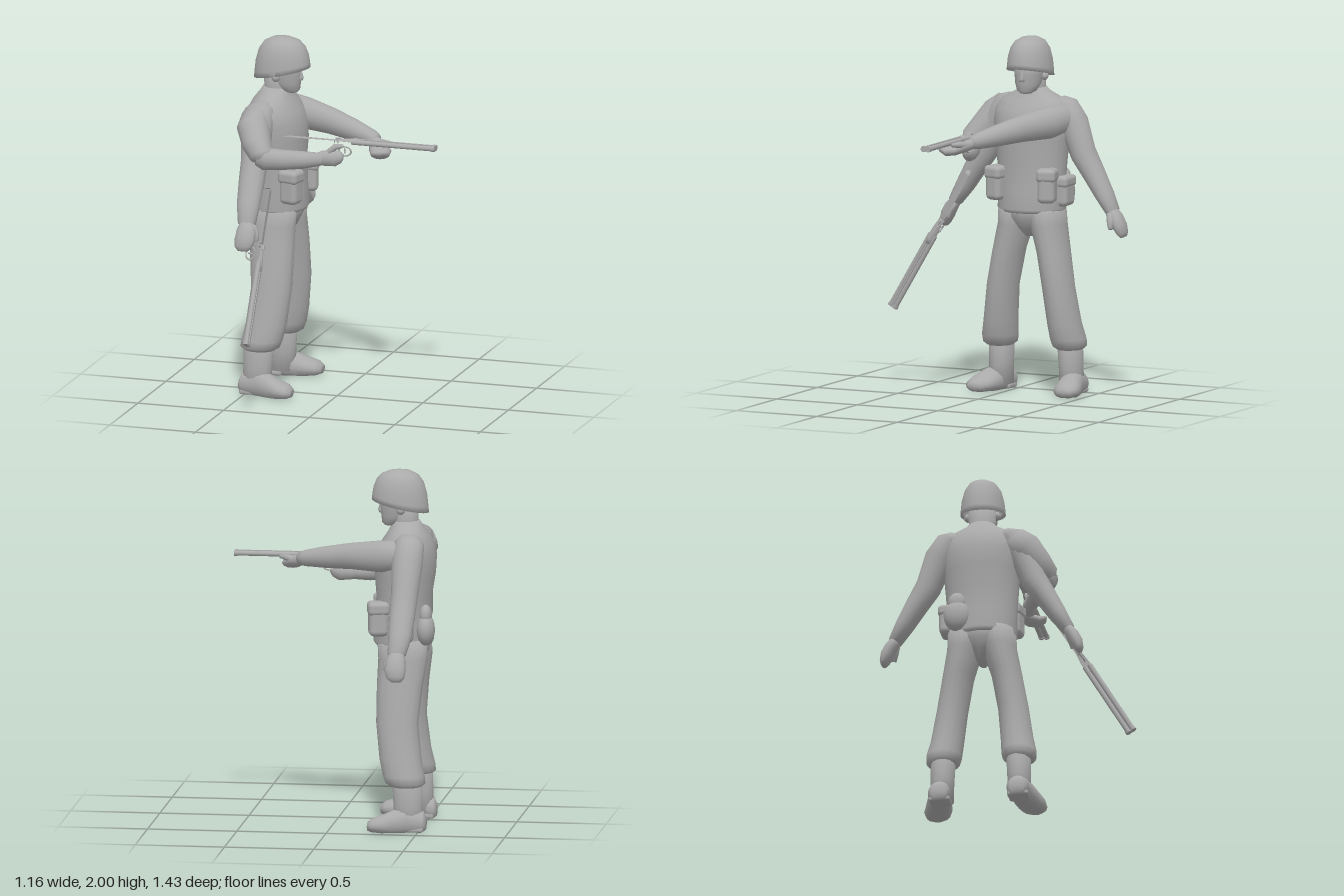
import * as THREE from 'three';
import { RoundedBoxGeometry } from 'three/addons/geometries/RoundedBoxGeometry.js';

const V = (x, y, z) => new THREE.Vector3(x, y, z);
const MID = -0.14; // z of the body's plane of symmetry

export function createModel() {
  const model = new THREE.Group();
  model.name = 'soldierFigure';
  const grey = new THREE.MeshStandardMaterial({ color: 0xaaaaaa, side: THREE.DoubleSide });
  grey.name = 'plain grey';

  const add = (name, geo, parent = model) => {
    const mesh = new THREE.Mesh(geo, grey);
    mesh.name = name;
    parent.add(mesh);
    return mesh;
  };

  // Closed skin over elliptical rings; rows are [x, y, z, radiusU, radiusV].
  // U is x for upright lofts and y for level ones.
  const loft = (name, rows, dir, parent = model, segs = 16) => {
    const first = rows[0], last = rows[rows.length - 1];
    const w = (dir || V(last[0] - first[0], last[1] - first[1], last[2] - first[2])).clone().normalize();
    const u = Math.abs(w.y) > 0.6 ? V(1, 0, 0) : V(0, 1, 0);
    u.addScaledVector(w, -u.dot(w)).normalize();
    const v = w.clone().cross(u);
    const pos = [], index = [];
    rows.forEach(([x, y, z, ru, rv = ru]) => {
      for (let i = 0; i < segs; i++) {
        const a = (i / segs) * Math.PI * 2;
        const p = V(x, y, z).addScaledVector(u, ru * Math.cos(a)).addScaledVector(v, rv * Math.sin(a));
        pos.push(p.x, Math.max(p.y, 0), p.z);
      }
    });
    for (let r = 0; r < rows.length - 1; r++) {
      for (let i = 0; i < segs; i++) {
        const a = r * segs + i, b = r * segs + ((i + 1) % segs);
        index.push(a, b, b + segs, a, b + segs, a + segs);
      }
    }
    const c = rows.length * segs, end = c - segs;
    pos.push(...first.slice(0, 3), ...last.slice(0, 3));
    for (let i = 0; i < segs; i++) {
      const j = (i + 1) % segs;
      index.push(c, j, i, c + 1, end + i, end + j);
    }
    const geo = new THREE.BufferGeometry();
    geo.setAttribute('position', new THREE.Float32BufferAttribute(pos, 3));
    geo.setIndex(index);
    geo.computeVertexNormals();
    return add(name, geo, parent);
  };
  const UP = V(0, 1, 0), FORWARD = V(1, 0, 0);

  // Jacket, neck and face
  loft('jacket', [
    [-0.385, 1.02, MID, 0.155, 0.185], [-0.385, 1.04, MID, 0.168, 0.197], [-0.385, 1.15, MID, 0.158, 0.195],
    [-0.39, 1.3, MID, 0.155, 0.205], [-0.395, 1.42, MID, 0.17, 0.215], [-0.4, 1.52, MID, 0.17, 0.23],
    [-0.405, 1.59, MID, 0.148, 0.225], [-0.41, 1.645, MID, 0.115, 0.19], [-0.405, 1.69, MID, 0.085, 0.1],
    [-0.4, 1.715, MID, 0.075, 0.075]], UP, model, 24);
  loft('neck', [[-0.4, 1.6, MID, 0.08], [-0.395, 1.7, MID, 0.073], [-0.39, 1.8, MID, 0.08]], UP);
  loft('face', [
    [-0.315, 1.685, MID, 0.035, 0.03], [-0.325, 1.7, MID, 0.06, 0.055], [-0.345, 1.74, MID, 0.085, 0.073],
    [-0.355, 1.79, MID, 0.1, 0.08], [-0.36, 1.86, MID, 0.105, 0.09]], UP);
  loft('nose', [[-0.262, 1.755, MID, 0.014, 0.017], [-0.26, 1.77, MID, 0.018, 0.016],
    [-0.268, 1.82, MID, 0.012, 0.01]], UP, model, 8);
  for (const s of [-1, 1]) {
    add('ear', new THREE.SphereGeometry(0.025, 8, 6)).position.set(-0.38, 1.78, MID + s * 0.08);
  }

  // Helmet with its rim sloping up towards the front
  const height = 0.205;
  const profile = [[0.9, 0.015], [1, 0], [0.985, 0.03], [0.94, 0.085], [0.83, 0.14], [0.64, 0.178], [0.36, 0.198], [0, height]];
  const helmet = new THREE.LatheGeometry(profile.map(([r, y]) => new THREE.Vector2(r, y)), 24);
  const hp = helmet.attributes.position;
  for (let i = 0; i < hp.count; i++) {
    const x = hp.getX(i), y = hp.getY(i);
    hp.setXYZ(i, x * 0.16, y + x * 0.035 * (1 - y / height), hp.getZ(i) * 0.125);
  }
  helmet.computeVertexNormals();
  add('helmet', helmet).position.set(-0.367, 1.795, MID);

  // Trousers and boots
  loft('trouserSeat', [[-0.39, 0.88, MID, 0.06, 0.025], [-0.39, 0.93, MID, 0.11, 0.08],
    [-0.39, 0.99, MID, 0.14, 0.16], [-0.39, 1.06, MID, 0.15, 0.18]], UP);
  for (const s of [-1, 1]) {
    const z = (d) => MID + s * d;
    loft('trouserLeg', [
      [-0.43, 0.25, z(0.215), 0.085, 0.07], [-0.425, 0.27, z(0.215), 0.112, 0.094], [-0.415, 0.31, z(0.211), 0.118, 0.099],
      [-0.395, 0.4, z(0.197), 0.118, 0.092], [-0.373, 0.6, z(0.172), 0.118, 0.086],
      [-0.382, 0.8, z(0.137), 0.128, 0.086], [-0.395, 0.95, z(0.1), 0.138, 0.096],
      [-0.39, 1.06, z(0.09), 0.14, 0.1]], UP);
    loft('bootShaft', [[-0.445, 0.03, z(0.22), 0.088, 0.068], [-0.44, 0.14, z(0.216), 0.082, 0.066],
      [-0.435, 0.29, z(0.212), 0.085, 0.07]], UP);
    loft('bootFoot', [
      [-0.54, 0.045, z(0.22), 0.035, 0.04], [-0.525, 0.05, z(0.221), 0.065, 0.062], [-0.44, 0.055, z(0.23), 0.085, 0.066],
      [-0.36, 0.045, z(0.25), 0.075, 0.074], [-0.3, 0.04, z(0.264), 0.055, 0.08],
      [-0.25, 0.036, z(0.272), 0.042, 0.07], [-0.222, 0.032, z(0.276), 0.025, 0.04]], FORWARD);
    const sole = add('bootSole', new RoundedBoxGeometry(0.1, 0.03, 0.12, 2, 0.012));
    sole.position.set(-0.48, 0.015, z(0.222));

    // Lowered arms
    loft('loweredArm', [
      [-0.435, 1.64, z(0.13), 0.06, 0.05], [-0.44, 1.61, z(0.175), 0.085, 0.075], [-0.438, 1.51, z(0.237), 0.088, 0.083],
      [-0.432, 1.35, z(0.297), 0.076, 0.073], [-0.428, 1.25, z(0.36), 0.073, 0.063],
      [-0.424, 1.13, z(0.432), 0.066, 0.052], [-0.414, 1.04, z(0.488), 0.052, 0.038]]);
    loft('loweredHand', [
      [-0.414, 1.06, z(0.475), 0.036, 0.028], [-0.41, 1.01, z(0.51), 0.055, 0.036], [-0.41, 0.96, z(0.535), 0.06, 0.036],
      [-0.415, 0.92, z(0.55), 0.05, 0.026], [-0.418, 0.9, z(0.555), 0.03, 0.014]], null, model, 12);
    loft('loweredThumb', [[-0.385, 1.03, z(0.485), 0.022], [-0.36, 0.99, z(0.5), 0.022],
      [-0.35, 0.95, z(0.505), 0.014]], null, model, 8);
  }

  // Raised arms that level the gun
  loft('raisedRightUpperArm', [[-0.46, 1.6, 0.04, 0.08], [-0.455, 1.54, 0.11, 0.092], [-0.41, 1.45, 0.18, 0.082],
    [-0.365, 1.395, 0.225, 0.068], [-0.34, 1.375, 0.235, 0.04]]);
  loft('raisedRightForearm', [[-0.4, 1.39, 0.235, 0.04, 0.03], [-0.36, 1.388, 0.225, 0.066, 0.058],
    [-0.27, 1.378, 0.185, 0.058, 0.056], [-0.16, 1.37, 0.12, 0.05, 0.046], [-0.07, 1.37, 0.075, 0.036, 0.034]]);
  loft('raisedRightHand', [[-0.11, 1.37, 0.085, 0.028], [-0.06, 1.375, 0.066, 0.044, 0.036],
    [0, 1.378, 0.055, 0.048, 0.04], [0.035, 1.385, 0.05, 0.035, 0.03], [0.05, 1.39, 0.045, 0.015]], null, model, 12);
  loft('raisedRightThumb', [[-0.03, 1.41, 0.07, 0.018], [0.01, 1.445, 0.06, 0.018], [0.05, 1.45, 0.045, 0.01]], null, model, 8);
  loft('raisedLeftArm', [[-0.43, 1.55, -0.34, 0.06, 0.05], [-0.39, 1.545, -0.325, 0.085, 0.075],
    [-0.28, 1.53, -0.285, 0.09, 0.08], [-0.1, 1.515, -0.212, 0.074, 0.066], [0.06, 1.492, -0.14, 0.06, 0.057],
    [0.17, 1.475, -0.088, 0.046, 0.046], [0.21, 1.468, -0.066, 0.034, 0.034]]);
  loft('raisedLeftHand', [[0.18, 1.468, -0.08, 0.028], [0.225, 1.452, -0.04, 0.034, 0.05],
    [0.255, 1.43, 0.01, 0.03, 0.062], [0.27, 1.422, 0.06, 0.028, 0.055], [0.275, 1.435, 0.1, 0.016, 0.035]],
  V(0.3, 0, 1), model, 12);
  loft('raisedLeftThumb', [[0.24, 1.46, -0.05, 0.02], [0.29, 1.465, -0.025, 0.018], [0.325, 1.465, 0, 0.01]], null, model, 8);

  // Belt pouches, with a flap on each
  const pouch = (name, x, y, z, turn, w, h, d) => {
    const g = new THREE.Group();
    g.name = name;
    g.position.set(x, y, z);
    g.rotation.y = turn;
    add('pouchBody', new RoundedBoxGeometry(w, h, d, 3, 0.03), g);
    add('pouchFlap', new RoundedBoxGeometry(w + 0.012, h * 0.4, d + 0.012, 3, 0.025), g).position.y = h * 0.32;
    model.add(g);
  };
  for (const s of [-1, 1]) {
    pouch('frontPouch', -0.265, 1.18, MID + s * 0.155, -s * 0.25, 0.11, 0.19, 0.1);
  }
  pouch('hipPouch', -0.4, 1.14, -0.33, 0, 0.13, 0.17, 0.09);
  for (const [y, r] of [[1.12, 0.075], [1.2, 0.05]]) {
    const canteen = add('canteen', new THREE.SphereGeometry(r, 14, 10));
    canteen.scale.set(0.7, 1.2, 1);
    canteen.position.set(-0.525, y, -0.26);
  }

  // Double-barrelled gun: muzzle at the origin, pointing along +x
  const buildGun = (name) => {
    const gun = new THREE.Group();
    gun.name = name;
    for (const s of [-1, 1]) {
      const tube = (part, r, len, x) => {
        const m = add(part, new THREE.CylinderGeometry(r, r, len, 12).rotateZ(Math.PI / 2), gun);
        m.position.set(x, 0, s * 0.0145);
      };
      tube('barrel', 0.0145, 0.48, -0.245);
      tube('muzzleRing', 0.0175, 0.016, -0.008);
    }
    add('sightRib', new THREE.BoxGeometry(0.47, 0.008, 0.008), gun).position.set(-0.24, 0.012, 0);
    loft('foreEnd', [[-0.44, -0.022, 0, 0.02, 0.026], [-0.32, -0.026, 0, 0.02, 0.027],
      [-0.23, -0.026, 0, 0.018, 0.024], [-0.21, -0.022, 0, 0.01, 0.014]], FORWARD, gun, 12);
    loft('receiver', [[-0.59, -0.025, 0, 0.018, 0.014], [-0.54, -0.018, 0, 0.032, 0.02],
      [-0.46, -0.012, 0, 0.033, 0.027], [-0.43, -0.008, 0, 0.026, 0.026]], FORWARD, gun, 12);
    loft('stock', [[-0.91, -0.075, 0, 0.045, 0.015], [-0.89, -0.073, 0, 0.05, 0.018], [-0.75, -0.055, 0, 0.036, 0.018],
      [-0.65, -0.042, 0, 0.023, 0.016], [-0.57, -0.025, 0, 0.022, 0.015]], FORWARD, gun, 12);
    const guard = add('triggerGuard', new THREE.TorusGeometry(0.026, 0.004, 6, 16), gun);
    guard.position.set(-0.53, -0.06, 0);
    guard.scale.x = 1.4;
    add('trigger', new THREE.BoxGeometry(0.006, 0.03, 0.006), gun).position.set(-0.53, -0.058, 0);
    add('hammer', new THREE.BoxGeometry(0.025, 0.02, 0.01), gun).position.set(-0.57, 0.005, 0);
    model.add(gun);
    return gun;
  };
  buildGun('aimedGun').position.set(0.585, 1.475, 0.032);

  const carried = buildGun('carriedGun');
  const muzzle = V(-0.305, 0.435, 0.685);
  const along = muzzle.clone().sub(V(-0.315, 1.255, 0.2)).normalize();
  const top = V(1, 0, 0).addScaledVector(along, -along.x).normalize();
  carried.quaternion.setFromRotationMatrix(new THREE.Matrix4().makeBasis(along, top, along.clone().cross(top)));
  carried.position.copy(muzzle);

  return model;
}
